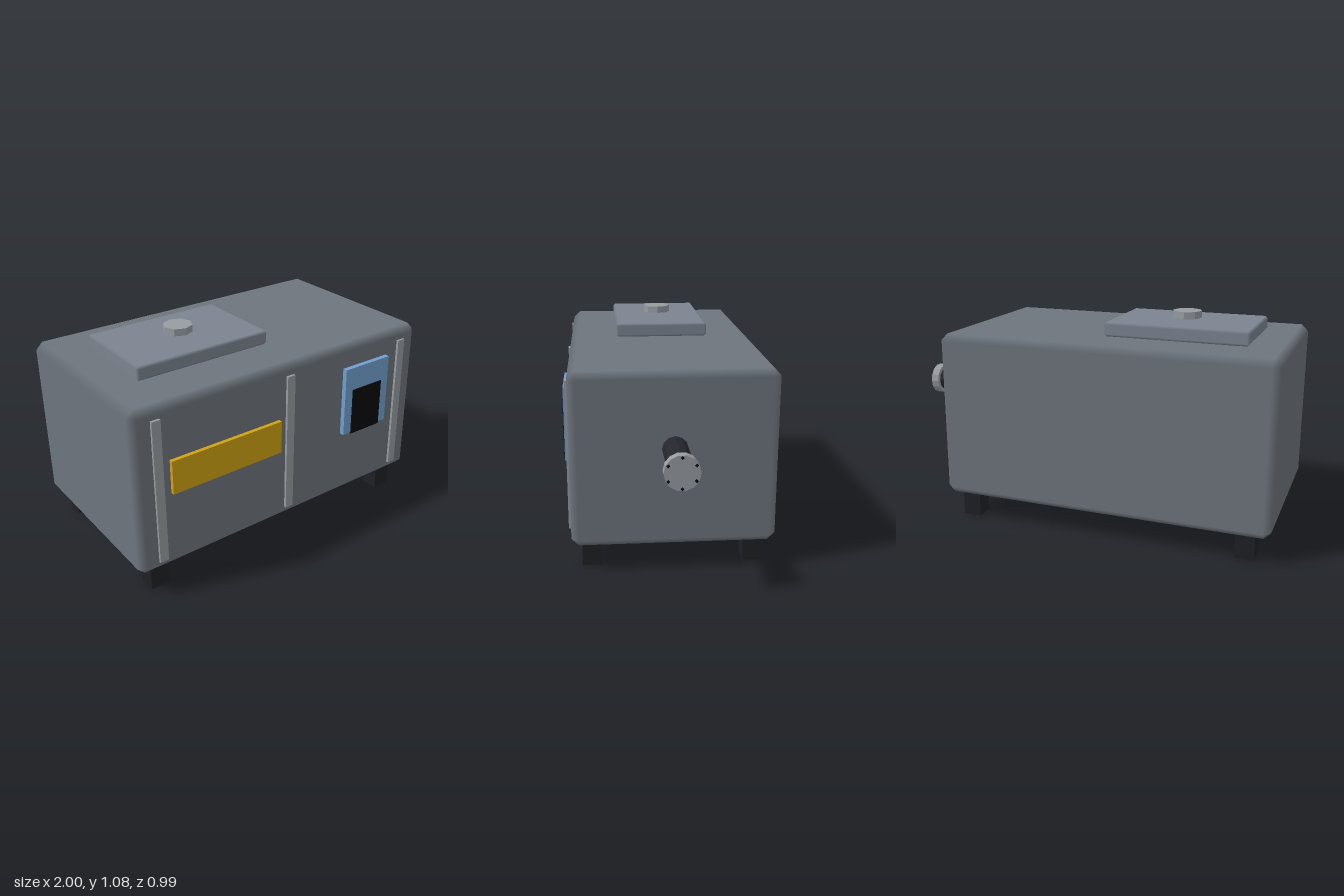
import * as THREE from 'three';

const mat = (color, flatShading = false) => new THREE.MeshStandardMaterial({ color, flatShading });

// Box with one chamfer per edge: inset faces joined by edge strips and corner triangles.
function chamferBox(w, h, d, c) {
  const half = [w / 2, h / 2, d / 2];
  const pos = [], nor = [], idx = [];
  // One vertex per corner and face axis; signs packed into bits of k.
  for (let k = 0; k < 8; k++) {
    const s = [0, 1, 2].map(i => (k >> i & 1 ? 1 : -1));
    for (let a = 0; a < 3; a++) {
      pos.push(...half.map((v, i) => s[i] * (i === a ? v : v - c)));
      nor.push(...s.map((v, i) => (i === a ? v : 0)));
    }
  }
  const at = i => new THREE.Vector3().fromArray(pos, i * 3);
  const tri = (p, q, r) => {
    const A = at(p), B = at(q), C = at(r);
    const n = B.clone().sub(A).cross(C.clone().sub(A));
    idx.push(...(n.dot(A.add(B).add(C)) > 0 ? [p, q, r] : [p, r, q]));
  };
  const quad = (p, q, r, s) => { tri(p, q, r); tri(p, r, s); };
  for (let a = 0; a < 3; a++) {
    const b = (a + 1) % 3, e = (a + 2) % 3, A = 1 << a, B = 1 << b, E = 1 << e;
    for (const s of [0, A]) {
      // face
      quad(s * 3 + a, (s | B) * 3 + a, (s | B | E) * 3 + a, (s | E) * 3 + a);
      // edge strips running along axis e
      for (const t of [0, B]) {
        const k = s | t, m = k | E;
        quad(k * 3 + a, k * 3 + b, m * 3 + b, m * 3 + a);
      }
    }
  }
  for (let k = 0; k < 8; k++) tri(k * 3, k * 3 + 1, k * 3 + 2);
  const g = new THREE.BufferGeometry();
  g.setAttribute('position', new THREE.Float32BufferAttribute(pos, 3));
  g.setAttribute('normal', new THREE.Float32BufferAttribute(nor, 3));
  g.setIndex(idx);
  return g;
}

export function createModel() {
  const model = new THREE.Group();
  model.name = 'tankUnit';

  const steel = mat(0x6e757d), lidSteel = mat(0x7c8490), trim = mat(0x979ca1, true);
  const rubber = mat(0x1f2023), pipeMat = mat(0x25262c, true), black = mat(0x080808);

  const add = (name, geometry, material) => {
    const mesh = new THREE.Mesh(geometry, material);
    mesh.name = name;
    model.add(mesh);
    return mesh;
  };
  // Box given by its limits on each axis, optionally chamfered
  const block = (name, [x0, x1], [y0, y1], [z0, z1], material, chamfer = 0) => {
    const size = [x1 - x0, y1 - y0, z1 - z0];
    const g = chamfer ? chamferBox(...size, chamfer) : new THREE.BoxGeometry(...size);
    add(name, g, material).position.set((x0 + x1) / 2, (y0 + y1) / 2, (z0 + z1) / 2);
  };
  // Cylinder lying along x
  const rod = (name, x0, x1, y, z, r, sides, material) => {
    const g = new THREE.CylinderGeometry(r, r, x1 - x0, sides).rotateZ(-Math.PI / 2);
    add(name, g, material).position.set((x0 + x1) / 2, y, z);
  };

  // Housing and top hatch
  block('body', [-1, 0.682], [0.125, 0.965], [-0.495, 0.468], steel, 0.035);
  block('hatch', [-0.82, -0.105], [0.965, 1.035], [-0.255, 0.225], lidSteel, 0.012);
  add('hatchKnob', new THREE.CylinderGeometry(0.072, 0.072, 0.035, 8), trim)
    .position.set(-0.461, 1.0615, -0.014);

  // Feet
  for (const x of [-0.88, 0.56])
    for (const z of [-0.398, 0.372])
      block('foot', [x - 0.047, x + 0.047], [0, 0.13], [z - 0.047, z + 0.047], rubber);

  // Front ribs, label plate and control panel
  for (const x of [-0.883, -0.159, 0.561])
    block('frontRib', [x - 0.022, x + 0.022], [0.183, 0.905], [0.455, 0.481], trim);
  block('labelPlate', [-0.822, -0.22], [0.522, 0.69], [0.455, 0.488], mat(0xcfa214));
  block('controlPanel', [0.177, 0.465], [0.484, 0.845], [0.455, 0.493], mat(0x719fcf));
  block('screen', [0.225, 0.416], [0.479, 0.725], [0.46, 0.498], black);

  // Side outlet pipe with bolted flange
  const py = 0.605, pz = -0.014;
  rod('outletPipe', 0.66, 0.96, py, pz, 0.06, 12, pipeMat);
  rod('flange', 0.953, 0.995, py, pz, 0.08, 14, trim);
  for (let i = 0; i < 6; i++) {
    const a = Math.PI / 2 + i * Math.PI / 3;
    rod('flangeBolt', 0.98, 1, py + 0.069 * Math.sin(a), pz + 0.069 * Math.cos(a), 0.008, 4, black);
  }
  return model;
}
